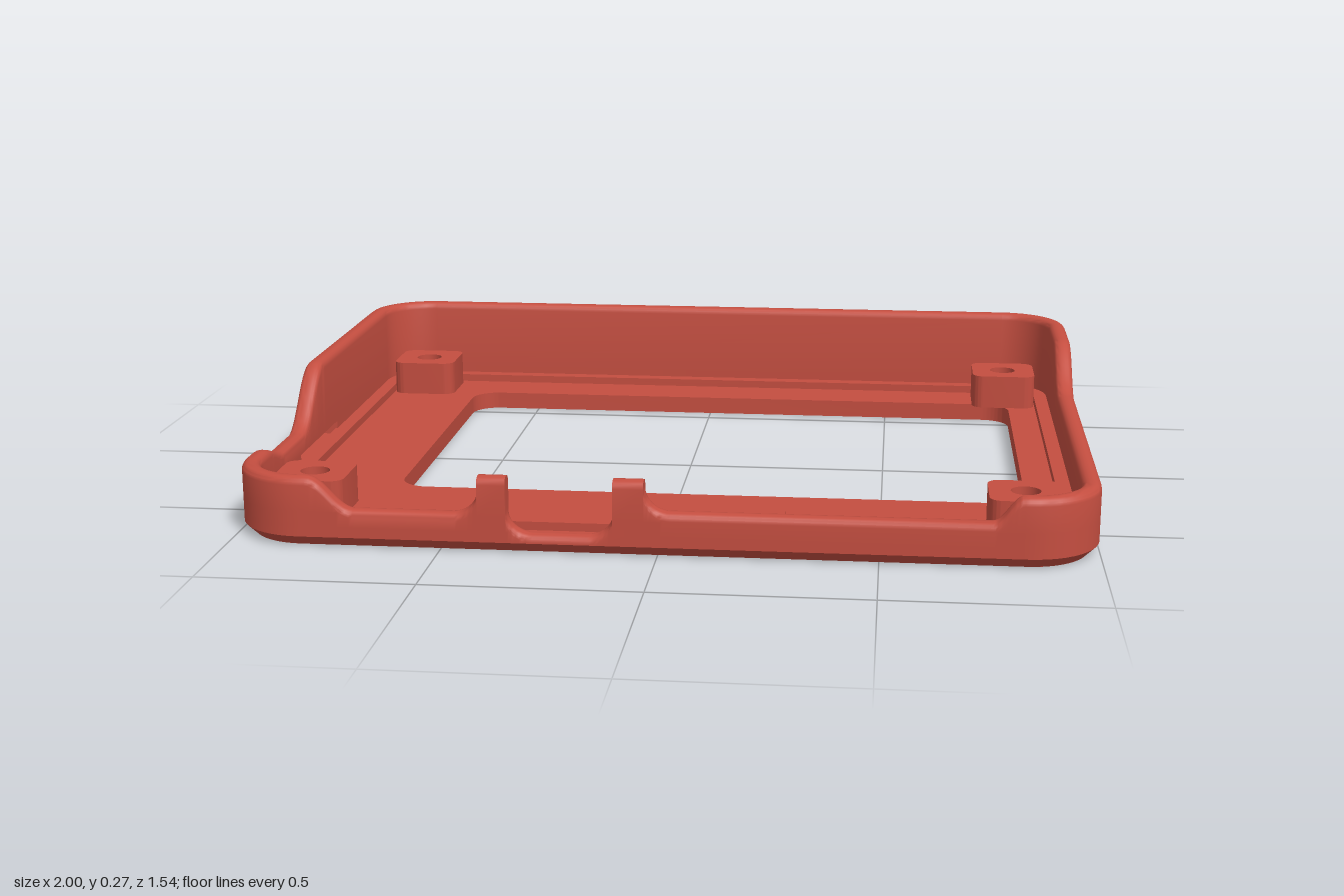
import * as THREE from 'three';
import { toCreasedNormals } from 'three/addons/utils/BufferGeometryUtils.js';

const W = 1, D = 0.77, R = 0.17, WALL = 0.045, RIM = 0.018, FLOOR = 0.045;
const LOW = 0.165, HIGH = 0.272;
const SLOT = { from: -0.04, to: 0.3, lo: 0.05, hi: 0.085 };

// rounded rectangle in x and z (shape y = -z, so it can be laid flat)
function roundedRect(x0, x1, z0, z1, r, Type = THREE.Shape) {
  const s = new Type(), a = -z1, b = -z0;
  s.moveTo(x0 + r, a);
  s.lineTo(x1 - r, a); s.absarc(x1 - r, a + r, r, -Math.PI / 2, 0);
  s.lineTo(x1, b - r); s.absarc(x1 - r, b - r, r, 0, Math.PI / 2);
  s.lineTo(x0 + r, b); s.absarc(x0 + r, b - r, r, Math.PI / 2, Math.PI);
  s.lineTo(x0, a + r); s.absarc(x0 + r, a + r, r, Math.PI, Math.PI * 1.5);
  return s;
}

function circleHole(x, z, r) {
  const p = new THREE.Path();
  p.absarc(x, -z, r, 0, Math.PI * 2, true);
  return p;
}

function slab(shape, y, height) {
  const g = new THREE.ExtrudeGeometry(shape, { depth: height, bevelEnabled: false, curveSegments: 10 });
  g.rotateX(-Math.PI / 2);
  g.translate(0, y, 0);
  return toCreasedNormals(g, 0.6);
}

// height curves as [position, height] samples
function curve(a, ha, b, hb, kind) {
  const out = [], n = 12;
  for (let i = 0; i <= n; i++) {
    const t = i / n, s = Math.sin(t * Math.PI / 2), c = 1 - Math.cos(t * Math.PI / 2);
    const e = (1 - Math.cos(t * Math.PI)) / 2;
    const u = kind === 'S' ? t : kind === 'flatStart' ? s : c;
    const v = kind === 'S' ? e : kind === 'flatStart' ? c : s;
    out.push([a + (b - a) * u, ha + (hb - ha) * v]);
  }
  return out;
}

// perimeter of the wall with the rim height at every point
function perimeter() {
  const pts = [], ex = W - R, ez = D - R;
  const add = (x, z, nx, nz, h) => pts.push({ x, z, nx, nz, h });
  const corner = (cx, cz, start, h) => {
    for (let i = 0; i <= 12; i++) {
      const a = start - (i / 12) * Math.PI / 2, c = Math.cos(a), s = Math.sin(a);
      add(cx + R * c, cz + R * s, c, s, h);
    }
  };
  const front = [
    ...curve(-0.81, LOW, -0.7, 0.09, 'S'),
    ...curve(-0.47, 0.09, -0.41, 0.15, 'flatStart'),
    [-0.41, 0.178], [-0.345, 0.178],
    ...curve(-0.345, 0.1, -0.285, 0.045, 'steepStart'),
    ...curve(-0.16, 0.045, -0.1, 0.1, 'flatStart'),
    [-0.1, 0.178], [-0.03, 0.178],
    ...curve(-0.03, 0.165, 0.03, 0.105, 'steepStart'),
    ...curve(0.75, 0.105, 0.82, LOW, 'S'),
  ];
  const left = [[SLOT.from, HIGH], ...curve(0.055, HIGH, 0.265, 0.13, 'S'),
    [SLOT.to, 0.13], ...curve(0.42, 0.13, 0.56, LOW, 'S')];
  front.forEach(([x, h]) => add(x, D, 0, 1, h));
  corner(ex, ez, Math.PI / 2, LOW);
  curve(-0.19, LOW, -0.42, HIGH, 'S').forEach(([z, h]) => add(W, z, 1, 0, h));
  corner(ex, -ez, 0, HIGH);
  corner(-ex, -ez, -Math.PI / 2, HIGH);
  left.forEach(([z, h]) => add(-W, z, -1, 0, h));
  corner(-ex, ez, -Math.PI, LOW);
  return pts;
}

// wall: section lofted round the perimeter, leaving the card slot open
function wallGeometry() {
  const pos = [];
  const rings = perimeter().map((p) => {
    const top = p.h - RIM, lo = Math.min(SLOT.lo, top), hi = Math.min(SLOT.hi, top);
    const section = [[0.025, 0], [0, 0.025], [0, lo], [0, hi]];
    for (let i = 0; i <= 4; i++) {
      const a = i * Math.PI / 8;
      section.push([RIM * (1 - Math.cos(a)), top + RIM * Math.sin(a)]);
    }
    for (let i = 4; i >= 0; i--) {
      const a = i * Math.PI / 8;
      section.push([WALL - RIM * (1 - Math.cos(a)), top + RIM * Math.sin(a)]);
    }
    section.push([WALL, hi], [WALL, lo], [WALL, 0.02]);
    const ring = section.map(([d, y]) => [p.x - p.nx * d, y, p.z - p.nz * d]);
    ring.z = p.z;
    ring.left = p.nx === -1 && p.x === -W;
    return ring;
  });
  const quad = (a, b, c, d) => pos.push(...a, ...b, ...c, ...a, ...c, ...d);
  const inHi = 14, inLo = 15;
  rings.forEach((a, i) => {
    const b = rings[(i + 1) % rings.length];
    const open = a.left && b.left && a.z >= SLOT.from - 1e-6 && b.z <= SLOT.to + 1e-6;
    for (let j = 0; j < a.length - 1; j++) {
      if (open && (j === 2 || j === inHi)) continue;
      quad(a[j], b[j], b[j + 1], a[j + 1]);
    }
    if (open) {
      quad(a[2], b[2], b[inLo], a[inLo]);
      quad(a[inHi], b[inHi], b[3], a[3]);
      if (Math.abs(a.z - SLOT.from) < 1e-6) quad(a[2], a[inLo], a[inHi], a[3]);
      if (Math.abs(b.z - SLOT.to) < 1e-6) quad(b[2], b[3], b[inHi], b[inLo]);
    }
  });
  const g = new THREE.BufferGeometry();
  g.setAttribute('position', new THREE.Float32BufferAttribute(pos, 3));
  return toCreasedNormals(g, 0.6);
}

export function createModel() {
  const group = new THREE.Group();
  const red = new THREE.MeshStandardMaterial({ color: 0xc44e40, side: THREE.DoubleSide });
  red.name = 'brick red';
  const add = (name, geometry) => {
    const m = new THREE.Mesh(geometry, red);
    m.name = name;
    group.add(m);
    return m;
  };
  const corners = [[1, 1], [1, -1], [-1, 1], [-1, -1]];
  const hx = 0.83, hz = 0.603;

  add('wall', wallGeometry());

  // floor with display window and screw holes
  const floor = roundedRect(-W + 0.025, W - 0.025, -D + 0.025, D - 0.025, R - 0.025);
  floor.holes.push(roundedRect(-0.68, 0.845, -0.555, 0.41, 0.07, THREE.Path));
  corners.forEach(([sx, sz]) => floor.holes.push(circleHole(sx * hx, sz * hz, 0.058)));
  add('floor', slab(floor, 0, FLOOR));

  // low step along the foot of the wall
  const step = roundedRect(-0.96, 0.96, -0.73, 0.73, 0.13);
  step.holes.push(roundedRect(-0.92, 0.92, -0.69, 0.722, 0.1, THREE.Path));
  add('innerStep', slab(step, FLOOR, 0.02));
  add('frontStep', slab(roundedRect(-0.86, -0.4, 0.69, 0.73, 0.002), FLOOR, 0.02));

  // screw bosses with countersinks underneath
  corners.forEach(([sx, sz]) => {
    const x0 = sx > 0 ? 0.745 : -0.917, z0 = sz > 0 ? 0.52 : -0.69;
    const boss = roundedRect(x0, x0 + 0.172, z0, z0 + 0.17, 0.03);
    boss.holes.push(circleHole(sx * hx, sz * hz, 0.035));
    add('screwBoss', slab(boss, FLOOR, 0.09));
    const sink = add('countersink', new THREE.CylinderGeometry(0.035, 0.058, FLOOR, 24, 1, true));
    sink.position.set(sx * hx, FLOOR / 2, sz * hz);
  });

  // small locating tab behind the front wall
  add('locatingTab', slab(roundedRect(0.053, 0.285, 0.636, 0.684, 0.003), FLOOR, 0.04));
  return group;
}
